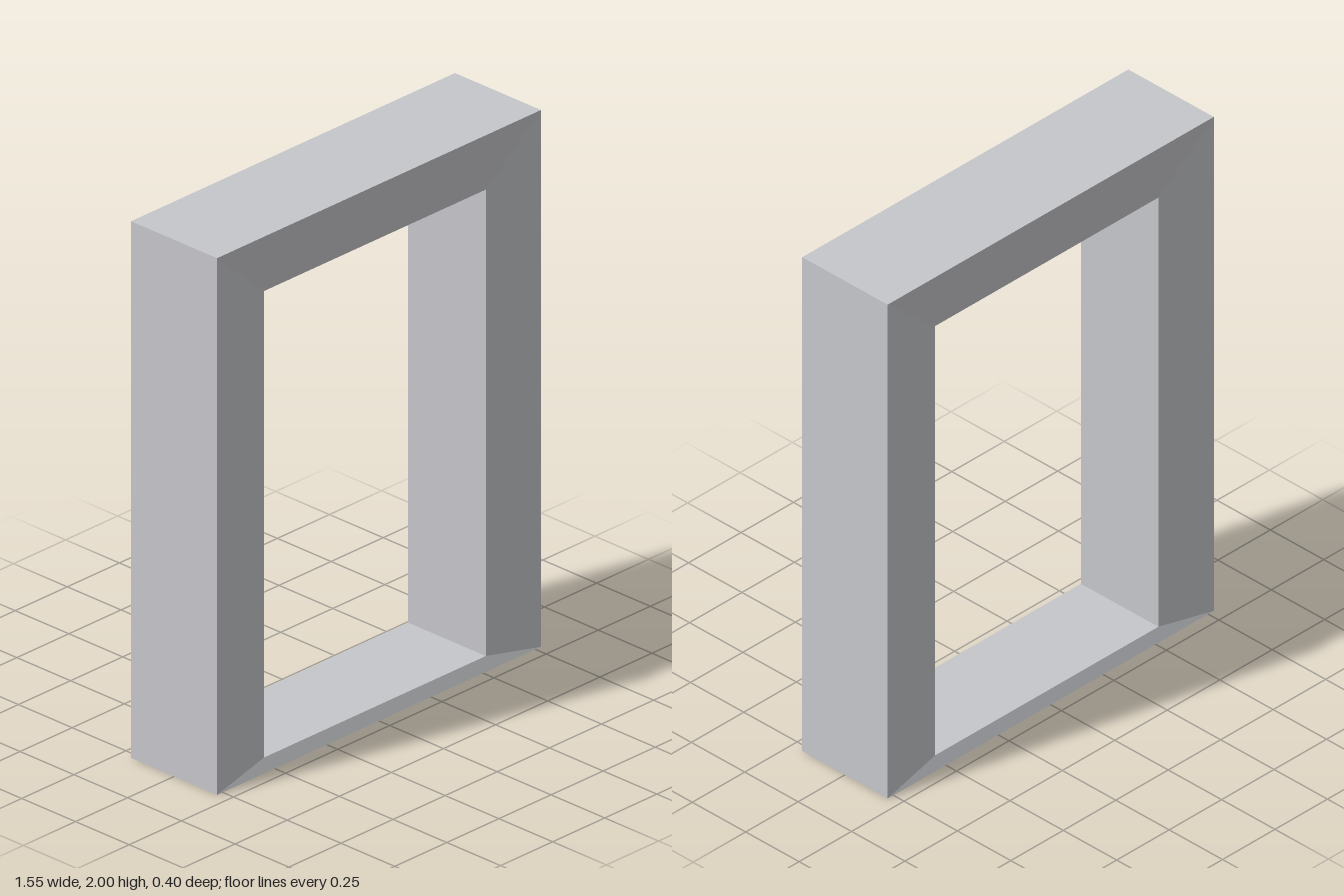
import * as THREE from 'three';

const HALF_WIDTH = 0.777, HEIGHT = 2, HALF_DEPTH = 0.2;
const OPENING_HALF = 0.532, OPENING_BOTTOM = 0.046, OPENING_TOP = 1.784;
const INNER_HALF_DEPTH = 0.181; // front and back slope in towards the opening

// Rectangle corners, counter-clockwise from bottom left
const rectangle = (w, y0, y1) => [[-w, y0], [w, y0], [w, y1], [-w, y1]];
const outer = rectangle(HALF_WIDTH, 0, HEIGHT);
const inner = rectangle(OPENING_HALF, OPENING_BOTTOM, OPENING_TOP);

// Cross-section of the frame along the mitre at one corner
function mitre(i) {
  return [
    [...outer[i], -HALF_DEPTH],
    [...outer[i], HALF_DEPTH],
    [...inner[i], INNER_HALF_DEPTH],
    [...inner[i], -INNER_HALF_DEPTH],
  ];
}

// One frame member, spanning two mitred corners with flat faces
function memberGeometry(from, to) {
  const a = mitre(from), b = mitre(to);
  const points = [];
  for (let k = 0; k < 4; k++) {
    const n = (k + 1) % 4;
    points.push(a[k], b[k], b[n], a[k], b[n], a[n]);
  }
  const geometry = new THREE.BufferGeometry();
  geometry.setAttribute('position', new THREE.Float32BufferAttribute(points.flat(), 3));
  geometry.computeVertexNormals();
  return geometry;
}

export function createModel() {
  const group = new THREE.Group();
  group.name = 'openFrame';
  const grey = new THREE.MeshStandardMaterial({ color: 0xc6c7cb });
  grey.name = 'light grey';

  // Sill, jambs and head form the closed ring
  ['sill', 'leftJamb', 'head', 'rightJamb'].forEach((name, i) => {
    const mesh = new THREE.Mesh(memberGeometry(i, (i + 1) % 4), grey);
    mesh.name = name;
    group.add(mesh);
  });
  return group;
}
